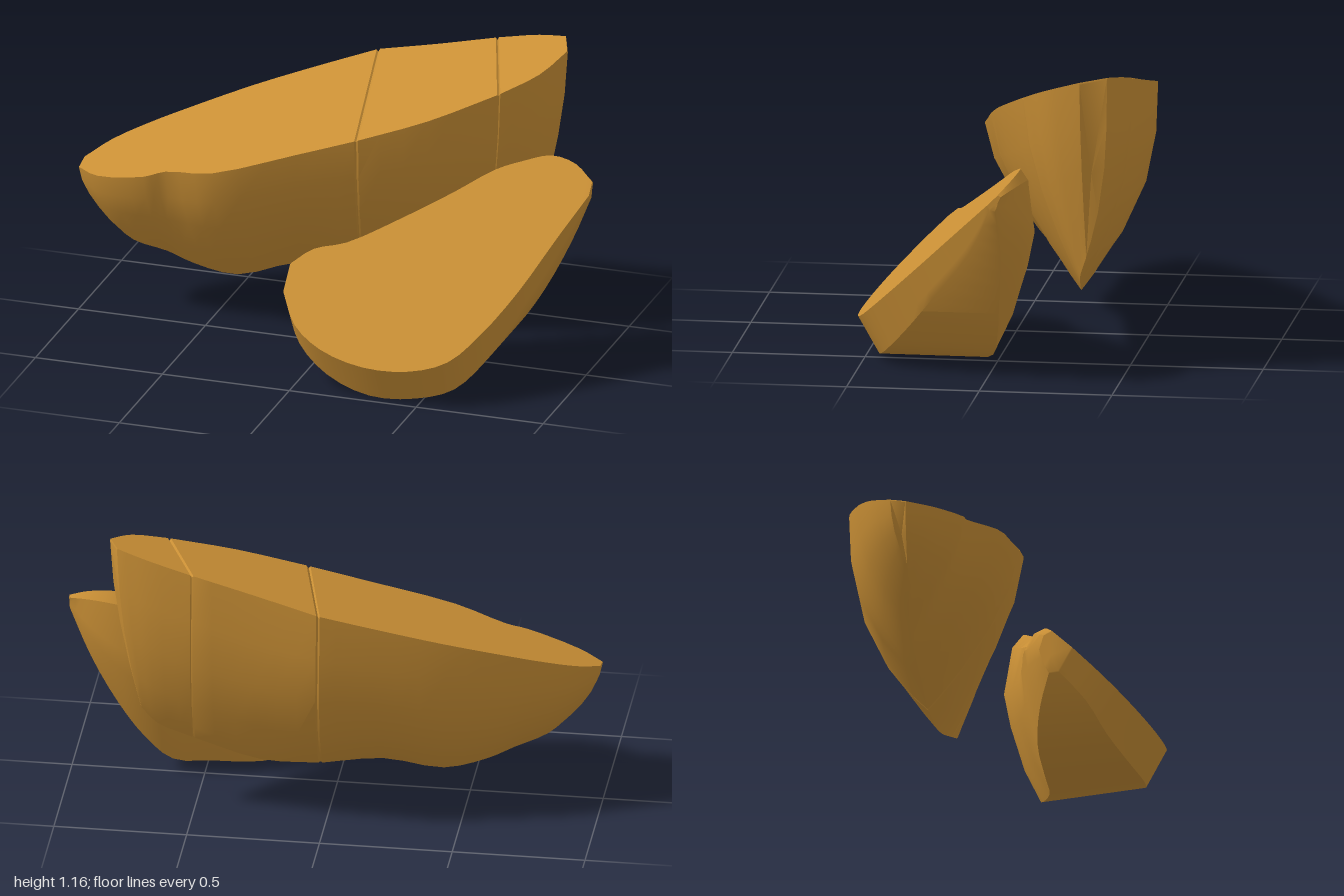
import * as THREE from 'three';
import { toCreasedNormals } from 'three/addons/utils/BufferGeometryUtils.js';

const V = (x, y, z) => new THREE.Vector3(x, y, z);
const ochre = new THREE.MeshStandardMaterial({ color: 0xc98f35 });
ochre.name = 'ochre stone';

// Closed solid through matching rings, ordered along +x, with bevelled ends
function loft(name, sections, crease = 0.5) {
  const steps = 3, n = sections[0].length;
  const tracks = sections[0].map((_, j) =>
    new THREE.CatmullRomCurve3(sections.map(s => s[j]), false, 'centripetal'));
  const count = (sections.length - 1) * steps;
  const ringAt = t => tracks.map(c => c.getPoint(t));
  const middle = r => r.reduce((a, p) => a.add(p), V(0, 0, 0)).divideScalar(n);
  const shrink = r => { const m = middle(r); return r.map(p => p.clone().lerp(m, 0.02)); };
  const bevel = 0.03 / (sections.length - 1);
  const rings = [shrink(ringAt(0)), ringAt(bevel)];
  for (let i = 1; i < count; i++) rings.push(ringAt(i / count));
  rings.push(ringAt(1 - bevel), shrink(ringAt(1)));

  const pos = [], idx = [];
  rings.flat().forEach(p => pos.push(p.x, p.y, p.z));
  const last = rings.length - 1;
  for (let i = 0; i < last; i++) for (let j = 0; j < n; j++) {
    const k = (j + 1) % n, a = i * n + j, b = i * n + k;
    idx.push(a, b, a + n, b, b + n, a + n);
  }
  for (const i of [0, last]) {
    const m = middle(rings[i]), c = pos.length / 3;
    pos.push(m.x, m.y, m.z);
    for (let j = 0; j < n; j++) {
      const a = i * n + j, b = i * n + (j + 1) % n;
      if (i) idx.push(c, a, b); else idx.push(c, b, a);
    }
  }
  const g = new THREE.BufferGeometry();
  g.setAttribute('position', new THREE.Float32BufferAttribute(pos, 3));
  g.setIndex(idx);
  const mesh = new THREE.Mesh(toCreasedNormals(g, crease), ochre);
  mesh.name = name;
  return mesh;
}

// Cross-section of the big rock: sloping flat top, steep flanks, keel below
function slabRing([xb, zb, xf, zf, bx, by, bz]) {
  const top = (x, z) => V(x, 0.843 + 0.27 * x - 0.24 * z, z);
  const back = top(xb, zb), front = top(xf, zf), keel = V(bx, by, bz);
  const flank = (from, t, p) => V(
    THREE.MathUtils.lerp(from.x, keel.x, t ** 1.6),
    THREE.MathUtils.lerp(from.y, keel.y, t),
    THREE.MathUtils.lerp(from.z, keel.z, t ** p));
  return [back, front,
    ...[0.25, 0.5, 0.75, 0.92].map(t => flank(front, t, 1.6)), keel,
    ...[0.92, 0.75, 0.5, 0.25].map(t => flank(back, t, 2.7))];
}

// Cross-section of the small rock: flat slanted face, narrow rim, rounded back
function boulderRing([x, yu, yl, by, zb, yk, zk]) {
  const rim = Math.min(0.08, (yl - by) * 0.6);
  const mix = (a, b, t) => a + (b - a) * t;
  return [V(x, yu, 0.68 - yu), V(x, yl, 0.68 - yl),
    V(x, mix(yl, by, 0.75), 0.68 - yl - rim * 0.75),
    V(x, by, 0.68 - yl - rim), V(x, by, zb),
    V(x, mix(by, yk, 0.3), mix(zb, zk, 0.45)),
    V(x, mix(by, yk, 0.7), mix(zb, zk, 0.82)), V(x, yk, zk),
    V(x, mix(yk, yu, 0.8), mix(zk, 0.66 - yu, 0.6))];
}

export function createModel() {
  const model = new THREE.Group();
  model.name = 'rocks';

  // Big rock, split into three slabs that share the seam sections
  const big = new THREE.Group();
  big.name = 'splitRock';
  const rings = [
    [-1, -0.06, -1, 0, -0.885, 0.36, -0.03],
    [-0.92, -0.16, -0.9, 0.08, -0.8, 0.285, -0.05],
    [-0.79, -0.245, -0.7, 0.13, -0.68, 0.24, -0.09],
    [-0.7, -0.29, -0.62, 0.115, -0.58, 0.195, -0.11],
    [-0.45, -0.4, -0.42, 0.17, -0.42, 0.16, -0.14],
    [-0.2, -0.48, -0.1, 0.12, -0.2, 0.215, -0.2],
    [0, -0.535, 0.12, 0.08, 0.03, 0.205, -0.25],
    [0.25, -0.515, 0.38, 0.01, 0.25, 0.22, -0.28],
    [0.48, -0.505, 0.62, -0.11, 0.5, 0.31, -0.31],
    [0.65, -0.485, 0.745, -0.21, 0.63, 0.37, -0.33],
    [0.77, -0.45, 0.81, -0.35, 0.69, 0.45, -0.36],
  ].map(slabRing);
  big.add(
    loft('leftSlab', rings.slice(0, 7)),
    loft('middleSlab', rings.slice(6, 9)),
    loft('rightSlab', rings.slice(8)));

  // Small rock leaning in front
  const small = loft('leaningRock', [
    [-0.075, 0.41, 0.33, 0.24, 0.26, 0.34, 0.22],
    [0, 0.46, 0.24, 0.14, 0.2, 0.38, 0.14],
    [0.12, 0.49, 0.18, 0.05, 0.15, 0.38, 0.09],
    [0.3, 0.575, 0.145, 0, 0.12, 0.42, 0.02],
    [0.48, 0.67, 0.15, 0.01, 0.08, 0.46, -0.07],
    [0.62, 0.75, 0.19, 0.05, 0, 0.52, -0.145],
    [0.72, 0.785, 0.28, 0.15, -0.03, 0.55, -0.17],
    [0.82, 0.81, 0.41, 0.3, -0.05, 0.6, -0.165],
    [0.92, 0.795, 0.58, 0.5, -0.07, 0.66, -0.13],
    [1, 0.75, 0.71, 0.69, -0.06, 0.72, -0.07],
  ].map(boulderRing));

  model.add(big, small);
  return model;
}
